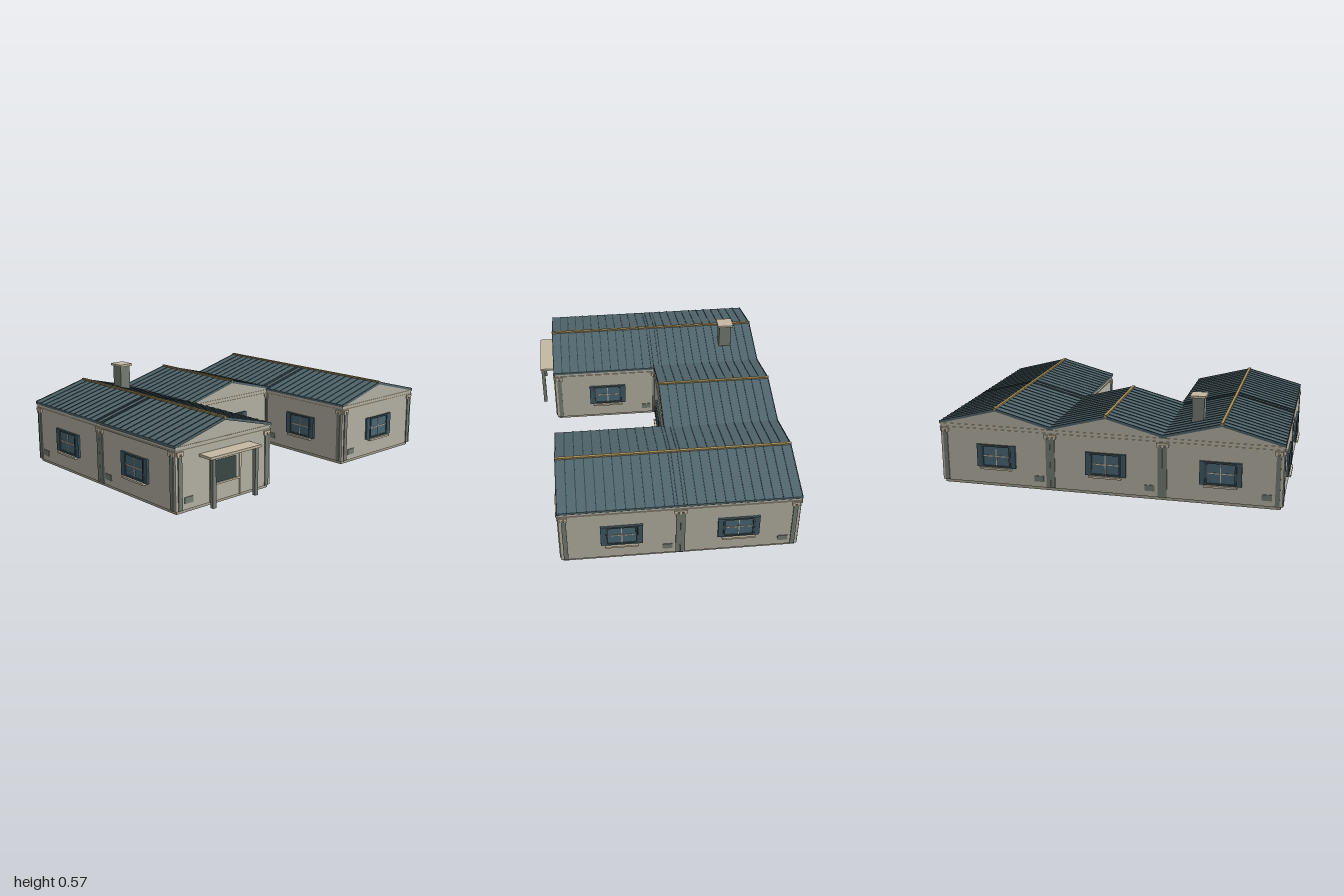
import * as THREE from 'three';

const mat = (color) => new THREE.MeshStandardMaterial({ color });
const M = {
  wall: mat(0xb4b1a3), trim: mat(0xc4b9a3), stone: mat(0x757b72), roof: mat(0x50666d),
  seam: mat(0x34454b), gold: mat(0xa58d58), glass: mat(0x4a6775), shutter: mat(0x3f5866),
  frame: mat(0x39494c), door: mat(0x3a4846), base: mat(0xa39f8e),
};
const HALF = 0.335;           // half width of a module's walls
const ROOF = 0.34;            // half width of a module's roof
const RIDGE = 0.46, EAVE = 0.37;
const SLOPE = Math.atan2(RIDGE - EAVE, ROOF);

function add(parent, name, geometry, material, x = 0, y = 0, z = 0) {
  const m = new THREE.Mesh(geometry, material);
  m.name = name;
  m.position.set(x, y, z);
  parent.add(m);
  return m;
}
const box = (parent, name, material, w, h, d, x, y, z) =>
  add(parent, name, new THREE.BoxGeometry(w, h, d), material, x, y, z);

// Extrudes an outline along z, centred on z = 0
function prism(points, depth) {
  const shape = new THREE.Shape(points.map(([x, y]) => new THREE.Vector2(x, y)));
  return new THREE.ExtrudeGeometry(shape, { depth, bevelEnabled: false }).translate(0, 0, -depth / 2);
}

// Window with frame, glazing bars, side shutters and sill; z = 0 is the wall plane
function makeWindow() {
  const g = new THREE.Group();
  g.name = 'window';
  const y = 0.184;
  box(g, 'glass', M.glass, 0.16, 0.12, 0.008, 0, y, 0.003);
  for (const s of [-1, 1]) {
    box(g, 'frameSide', M.frame, 0.01, 0.132, 0.016, s * 0.081, y, 0.006);
    box(g, 'frameRail', M.frame, 0.172, 0.01, 0.016, 0, y + s * 0.061, 0.006);
    box(g, 'shutter', M.shutter, 0.028, 0.134, 0.014, s * 0.101, y, 0.005);
  }
  box(g, 'barUpright', M.trim, 0.005, 0.114, 0.006, 0, y, 0.007);
  box(g, 'barAcross', M.trim, 0.154, 0.005, 0.006, 0, y, 0.007);
  box(g, 'sill', M.trim, 0.184, 0.011, 0.025, 0, 0.112, 0.0125);
  return g;
}

// Pilaster with a scrolled capital
function makePilaster() {
  const g = new THREE.Group();
  g.name = 'pilaster';
  box(g, 'shaft', M.stone, 0.025, 0.29, 0.012, 0, 0.165, 0);
  box(g, 'capital', M.trim, 0.044, 0.012, 0.018, 0, 0.327, 0);
  for (const s of [-1, 1])
    add(g, 'scroll', new THREE.CylinderGeometry(0.009, 0.009, 0.018, 10).rotateX(Math.PI / 2),
      M.trim, s * 0.013, 0.316, 0);
  return g;
}

// Entrance door with glazed upper half and a canopy on two posts
function makeEntrance() {
  const g = new THREE.Group();
  g.name = 'entrance';
  for (const s of [-1, 1]) {
    box(g, 'doorJamb', M.trim, 0.012, 0.245, 0.016, s * 0.102, 0.142, 0.004);
    box(g, 'canopyPost', M.stone, 0.022, 0.265, 0.022, s * 0.15, 0.151, 0.077);
  }
  box(g, 'doorHead', M.trim, 0.216, 0.012, 0.016, 0, 0.259, 0.004);
  box(g, 'doorLeaf', M.wall, 0.192, 0.233, 0.01, 0, 0.136, 0.001);
  box(g, 'doorGlass', M.door, 0.153, 0.122, 0.008, 0, 0.181, 0.005);
  box(g, 'doorRail', M.trim, 0.196, 0.01, 0.012, 0, 0.114, 0.006);
  box(g, 'canopy', M.trim, 0.357, 0.014, 0.095, 0, 0.29, 0.0455);
  return g;
}

// One outer wall's fittings; ventX is the vent's local offset
function makeFacade(ventX, entrance) {
  const g = new THREE.Group();
  g.name = 'facade';
  const details = entrance ? makeEntrance() : makeWindow();
  details.position.z = HALF;
  g.add(details);
  for (const s of [-1, 1]) {
    const p = makePilaster();
    p.position.set(s * 0.307, 0, HALF);
    g.add(p);
  }
  box(g, 'vent', M.stone, 0.056, 0.034, 0.006, ventX, 0.068, HALF + 0.001);
  box(g, 'lowerCornice', M.trim, 0.676, 0.006, 0.008, 0, 0.337, HALF);
  box(g, 'upperCornice', M.trim, 0.676, 0.006, 0.008, 0, 0.357, HALF);
  return g;
}

// Gabled roof with seams across the slope and a ridge cap
function makeRoof() {
  const g = new THREE.Group();
  g.name = 'roof';
  const t = 0.013;
  add(g, 'roofPanels', prism([[-ROOF, EAVE - t], [0, RIDGE - t], [ROOF, EAVE - t],
    [ROOF, EAVE], [0, RIDGE], [-ROOF, EAVE]], 0.68), M.roof);
  const length = Math.hypot(ROOF, RIDGE - EAVE);
  for (let i = 0; i < 14; i++)
    for (const s of [-1, 1]) {
      const z = -0.337 + i * 0.674 / 13;
      const seam = box(g, 'roofSeam', M.seam, length, 0.006, 0.005,
        s * ROOF / 2, (RIDGE + EAVE) / 2, z);
      seam.rotation.z = -s * SLOPE;
    }
  box(g, 'ridgeCap', M.gold, 0.016, 0.012, 0.682, 0, RIDGE + 0.001, 0);
  return g;
}

export function createModel() {
  const model = new THREE.Group();
  model.name = 'house';
  const zBack = -0.357, zFront = 0.283;
  const modules = [[-0.64, zBack], [0, zBack], [0.64, zBack], [-0.64, zFront], [0.64, zFront]];
  const occupied = (x, z) => modules.some(([a, b]) => Math.hypot(a - x, b - z) < 0.1);
  // Directions: front, left (+x), back, right (-x)
  const sides = [[0, 1, -0.25], [1, 0, 0.25], [0, -1, 0.25], [-1, 0, -0.25]];

  for (const [x, z] of modules) {
    const unit = new THREE.Group();
    unit.name = 'houseModule';
    unit.position.set(x, 0, z);
    box(unit, 'foundation', M.base, 0.65, 0.02, 0.65, 0, 0.01, 0);
    add(unit, 'walls', prism([[-HALF, 0.018], [HALF, 0.018], [HALF, 0.359],
      [0, 0.448], [-HALF, 0.359]], HALF * 2), M.wall);
    unit.add(makeRoof());
    sides.forEach(([dx, dz, ventX], i) => {
      if (occupied(x + dx * 0.64, z + dz * 0.64)) return;
      const facade = makeFacade(ventX, i === 0 && x < -0.1);
      facade.rotation.y = i * Math.PI / 2;
      unit.add(facade);
    });
    model.add(unit);
  }

  // Chimney
  box(model, 'chimney', M.stone, 0.068, 0.165, 0.076, -0.485, 0.473, -0.5);
  box(model, 'chimneyCap', M.trim, 0.088, 0.013, 0.098, -0.485, 0.561, -0.5);
  return model;
}
